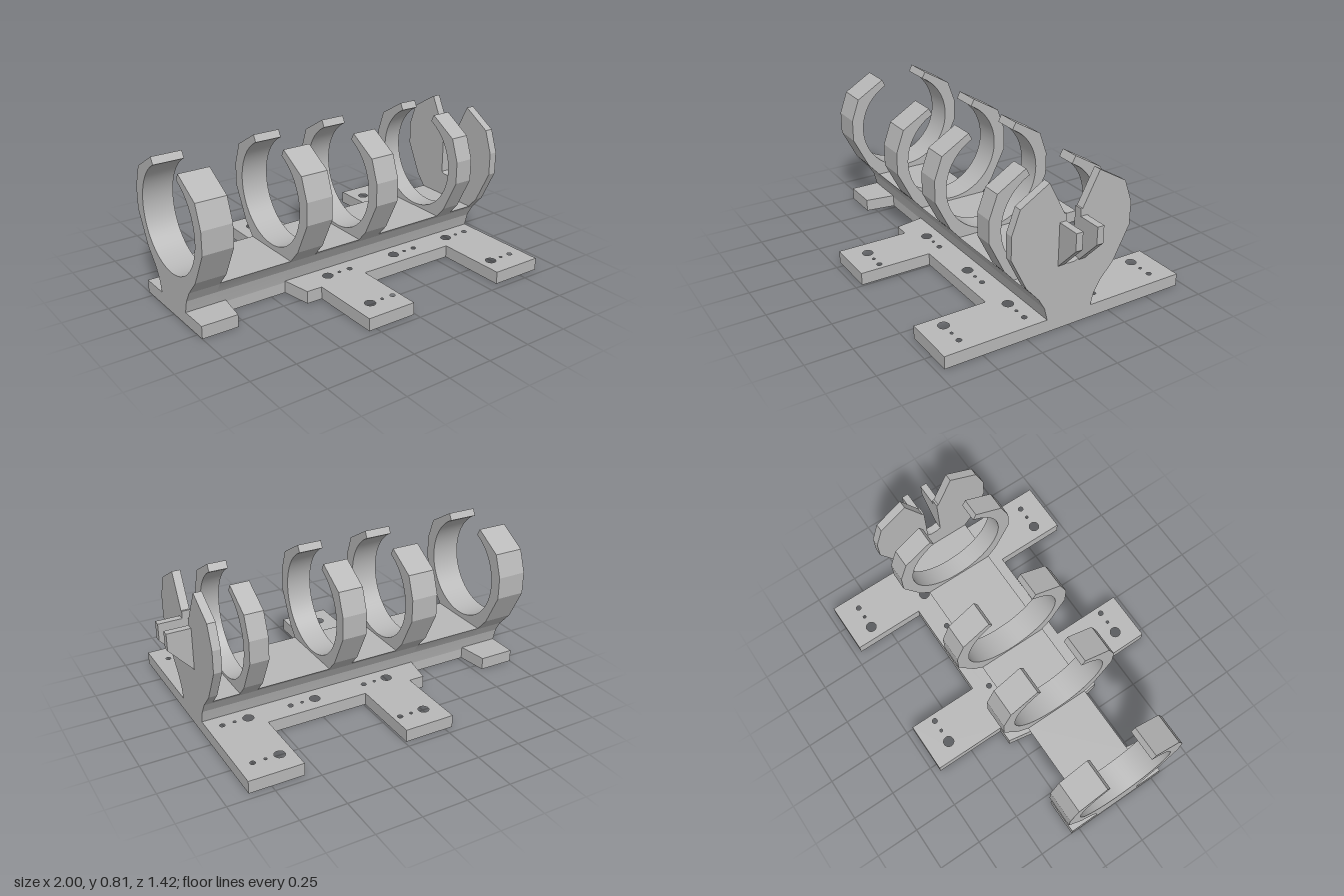
import * as THREE from 'three';
import { toCreasedNormals } from 'three/addons/utils/BufferGeometryUtils.js';

const grey = new THREE.MeshStandardMaterial({ color: 0xb8b8b8 });
grey.name = 'plainGrey';

// Right half of the clamp outline as [z, y], from the foot to the tip
const FOOT = [[0.13, 0.06], [0.132, 0.07], [0.15, 0.14], [0.185, 0.2]];
const CLAW = [[0.26, 0.285], [0.35, 0.465], [0.35, 0.59], [0.305, 0.715], [0.145, 0.81]];

const mirrored = (half) => half.map(([a, b]) => [-a, b]).reverse();
const toShape = (pts) => new THREE.Shape(pts.map(([a, b]) => new THREE.Vector2(a, b)));

function mesh(name, geometry) {
  const m = new THREE.Mesh(toCreasedNormals(geometry, 0.15), grey);
  m.name = name;
  return m;
}

// Sweep a cross-section along x between two stations
function sweep(name, shape, x0, x1) {
  const g = new THREE.ExtrudeGeometry(shape, { depth: x1 - x0, bevelEnabled: false, curveSegments: 32 });
  g.rotateY(Math.PI / 2);
  g.translate(x0, 0, 0);
  return mesh(name, g);
}

// Open ring: faceted outside, round bore, gap at the top
function ringShape() {
  const r = 0.282, tipZ = 0.125, cy = 0.519, a = Math.acos(tipZ / r);
  const right = [...FOOT, ...CLAW];
  const s = new THREE.Shape();
  s.moveTo(right[0][0], right[0][1]);
  right.slice(1).forEach(([z, y]) => s.lineTo(z, y));
  s.lineTo(tipZ, cy + r * Math.sin(a));
  s.absarc(0, cy, r, a, Math.PI - a, true);
  mirrored(right).forEach(([z, y]) => s.lineTo(z, y));
  s.closePath();
  return s;
}

// End plate: same outside, narrow slot with a slightly dished floor
function endPlateShape() {
  const right = [...FOOT, ...CLAW, [0.052, 0.63], [0.042, 0.63], [0.042, 0.365], [0.02, 0.355]];
  return toShape([...right, ...mirrored(right)]);
}

// Base plate with notches, cross arms and screw holes
function basePlate() {
  const edge = [
    [-1, 0.3], [-0.797, 0.3], [-0.772, 0.13], [-0.415, 0.13], [-0.385, 0.3], [-0.295, 0.3],
    [-0.295, 0.71], [-0.01, 0.71], [-0.01, 0.3], [0.572, 0.3], [0.572, 0.71], [0.87, 0.71],
  ];
  const s = toShape([...edge, ...edge.map(([x, z]) => [x, -z]).reverse()]);
  const holeSet = [[0, 0.029], [0.077, 0.008], [0.145, 0.014]];
  const rows = [[-0.195, 0.585], [-0.195, 0.213], [0.255, 0.213], [0.645, 0.585], [0.645, 0.213]];
  for (const [x, z] of rows) for (const side of [-1, 1]) for (const [dx, r] of holeSet) {
    const hole = new THREE.Path();
    hole.absarc(x + dx, side * z, r, 0, Math.PI * 2, true);
    s.holes.push(hole);
  }
  const g = new THREE.ExtrudeGeometry(s, { depth: 0.07, bevelEnabled: false, curveSegments: 24 });
  g.rotateX(-Math.PI / 2);
  return mesh('basePlate', g);
}

export function createModel() {
  const group = new THREE.Group();
  group.name = 'clampCradle';
  group.add(basePlate());

  // Spine joining the rings: [start x, end x, half width, top y]
  for (const [x0, x1, w, h] of [[-0.83, -0.41, 0.192, 0.209], [-0.26, 0.02, 0.206, 0.222],
    [0.16, 0.575, 0.206, 0.222], [0.68, 0.825, 0.206, 0.222]]) {
    const half = [...FOOT, [w, h]];
    group.add(sweep('spine', toShape([...half, ...mirrored(half)]), x0, x1));
  }

  // Four open rings
  for (const [x0, x1] of [[-1, -0.83], [-0.415, -0.26], [0.02, 0.16], [0.575, 0.68]]) {
    group.add(sweep('openRing', ringShape(), x0, x1));
  }
  group.add(sweep('endPlate', endPlateShape(), 0.825, 0.87));

  // Pair of prongs beside the slot
  const prong = toShape([[0.865, 0.355], [0.87, 0.355], [1, 0.495], [1, 0.59], [0.865, 0.59]]);
  for (const side of [-1, 1]) {
    const g = new THREE.ExtrudeGeometry(prong, { depth: 0.038, bevelEnabled: false });
    g.translate(0, 0, side * 0.061 - 0.019);
    group.add(mesh(side > 0 ? 'frontProng' : 'rearProng', g));
  }
  return group;
}
